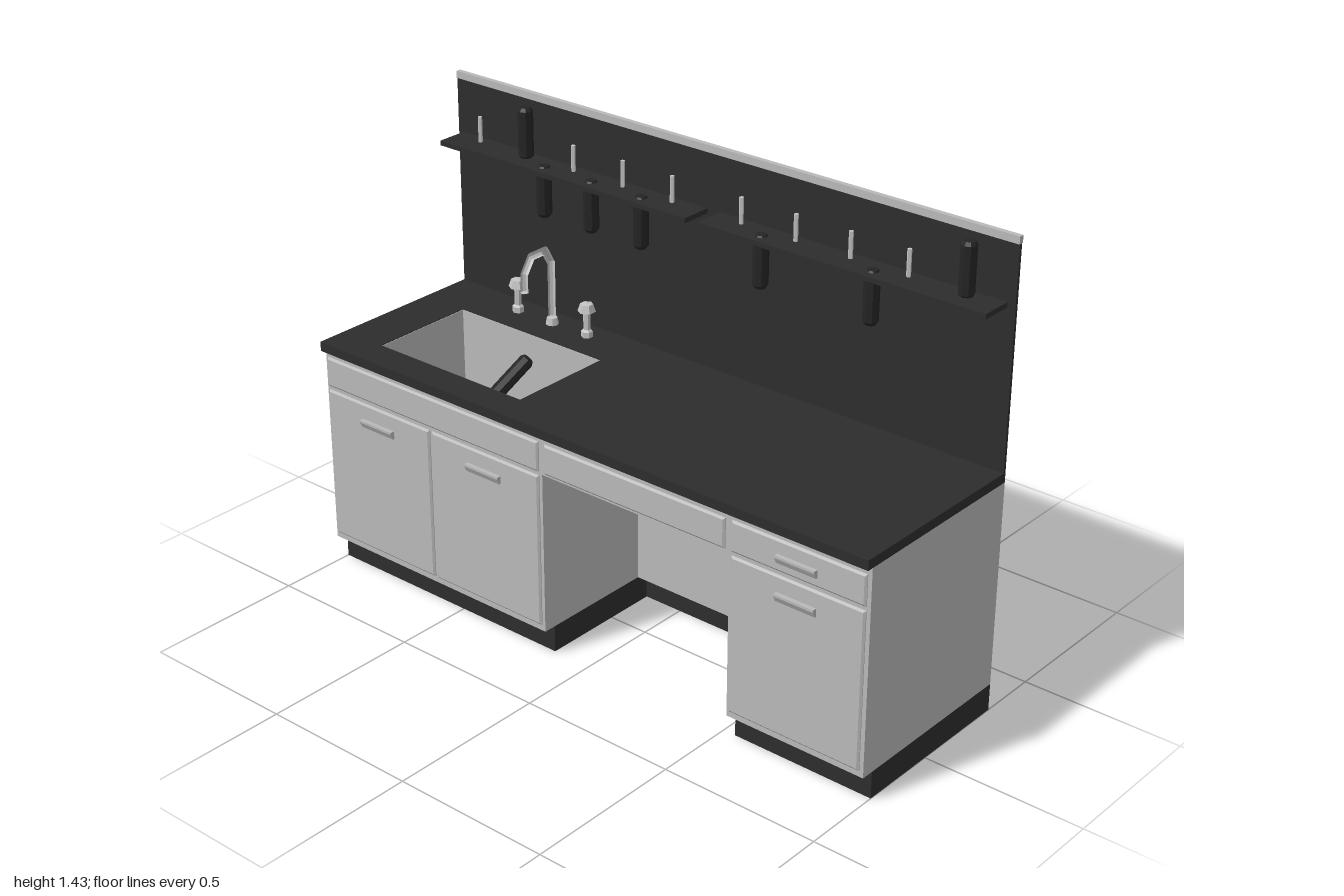
import * as THREE from 'three';

export function createModel() {
  const root = new THREE.Group();
  root.name = 'laboratoryBench';
  const mat = (name, color) => {
    const m = new THREE.MeshStandardMaterial({ color, flatShading: true });
    m.name = name;
    return m;
  };
  const grey = mat('cabinetGrey', 0xb9b9b9);
  const dark = mat('worktopBlack', 0x2d2d2d);
  const bottleMat = mat('bottleBlack', 0x242424);
  const metal = mat('metal', 0xc4c4c4);

  const add = (name, geo, material, x = 0, y = 0, z = 0) => {
    const m = new THREE.Mesh(geo, material);
    m.name = name;
    m.position.set(x, y, z);
    root.add(m);
    return m;
  };
  // Box given by its limits
  const box = (name, material, x0, x1, y0, y1, z0, z1) =>
    add(name, new THREE.BoxGeometry(x1 - x0, y1 - y0, z1 - z0), material,
      (x0 + x1) / 2, (y0 + y1) / 2, (z0 + z1) / 2);
  const rect = (Type, x0, x1, z0, z1) => new Type([
    new THREE.Vector2(x0, -z1), new THREE.Vector2(x1, -z1),
    new THREE.Vector2(x1, -z0), new THREE.Vector2(x0, -z0)]);
  // Horizontal slab with the sink opening cut out
  const S = { x0: -0.845, x1: -0.285, z0: -0.135, z1: 0.21, floor: 0.5 };
  const slab = (name, material, x0, x1, z0, z1, y0, y1) => {
    const shape = rect(THREE.Shape, x0, x1, z0, z1);
    const h = rect(THREE.Path, S.x0, S.x1, S.z0, S.z1);
    shape.holes.push(h);
    const geo = new THREE.ExtrudeGeometry(shape, { depth: y1 - y0, bevelEnabled: false });
    add(name, geo.rotateX(-Math.PI / 2), material, 0, y0, 0);
  };
  // Lathed part from [radius, height] pairs
  const lathe = (pts, sides) =>
    new THREE.LatheGeometry(pts.map(p => new THREE.Vector2(...p)), sides);

  // Plinths, recessed below the cabinets
  box('sinkPlinth', dark, -1, -0.13, 0, 0.085, -0.31, 0.25);
  box('kneePlinth', dark, -0.13, 0.54, 0, 0.085, -0.31, -0.16);
  box('drawerPlinth', dark, 0.54, 1, 0, 0.085, -0.31, 0.25);

  // Cabinet bodies and the open knee space
  box('sinkCabinetBase', grey, -1, -0.13, 0.085, S.floor, -0.31, 0.29);
  slab('sinkCabinetTop', grey, -1, -0.13, -0.31, 0.29, S.floor, 0.722);
  box('kneeBackPanel', grey, -0.13, 0.54, 0.085, 0.722, -0.31, -0.12);
  box('kneeDrawerBody', grey, -0.13, 0.54, 0.597, 0.722, -0.12, 0.29);
  box('drawerCabinet', grey, 0.54, 1, 0.085, 0.722, -0.31, 0.29);

  // Worktop and basin
  slab('worktop', dark, -1, 1, -0.31, 0.31, 0.722, 0.752);
  const t = 0.002;
  box('basinFloor', dark, S.x0, S.x1, S.floor, S.floor + 0.004, S.z0, S.z1);
  box('basinWallLeft', grey, S.x1 - t, S.x1, S.floor, 0.75, S.z0, S.z1);
  box('basinWallRight', grey, S.x0, S.x0 + t, S.floor, 0.75, S.z0, S.z1);
  box('basinWallBack', grey, S.x0, S.x1, S.floor, 0.75, S.z0, S.z0 + t);
  box('basinWallFront', grey, S.x0, S.x1, S.floor, 0.75, S.z1 - t, S.z1);

  // Bevelled door and drawer fronts
  const front = (name, x0, x1, y0, y1) => {
    const b = 0.006;
    const shape = rect(THREE.Shape, x0 + b, x1 - b, -y1 + b, -y0 - b);
    const geo = new THREE.ExtrudeGeometry(shape, {
      depth: 0.002, bevelThickness: 0.005, bevelSize: b, bevelSegments: 1 });
    add(name, geo, grey, 0, 0, 0.291);
  };
  front('door', -0.99, -0.57, 0.105, 0.593);
  front('door', -0.56, -0.14, 0.105, 0.593);
  front('door', 0.55, 0.988, 0.105, 0.593);
  front('sinkFront', -0.99, -0.14, 0.605, 0.7);
  front('kneeDrawerFront', -0.118, 0.528, 0.605, 0.698);
  front('drawerFront', 0.55, 0.988, 0.605, 0.7);

  // Wedge-shaped pulls
  for (const [x, y] of [[-0.78, 0.53], [-0.35, 0.53], [0.77, 0.53], [0.77, 0.645]]) {
    const profile = new THREE.Shape([[0, -0.012], [0.006, -0.012], [0.015, 0.006],
      [0.015, 0.013], [0, 0.013]].map(p => new THREE.Vector2(...p)));
    const geo = new THREE.ExtrudeGeometry(profile, { depth: 0.13, bevelEnabled: false });
    geo.rotateY(-Math.PI / 2).translate(0.065, 0, 0);
    add('pull', geo, grey, x, y, 0.297);
  }

  // Splashback with top trim
  box('splashback', dark, -1, 1, 0.752, 1.413, -0.31, -0.301);
  box('splashbackTrim', grey, -1, 1, 1.413, 1.435, -0.314, -0.298);

  // Shelves
  box('shelf', dark, -0.98, -0.025, 1.23, 1.245, -0.2, -0.301);
  box('shelf', dark, 0.02, 0.975, 1.23, 1.245, -0.2, -0.301);
  root.children.filter(c => c.name === 'shelf').forEach(c => {
    c.geometry = new THREE.BoxGeometry(0.955, 0.015, 0.101);
  });

  // Pegs standing on the shelves
  for (const x of [-0.88, -0.505, -0.315, -0.13, 0.12, 0.31, 0.495, 0.685])
    add('peg', new THREE.CylinderGeometry(0.007, 0.007, 0.08, 5), metal, x, 1.285, -0.27);

  // Bottles with chamfered ends: standing, hanging and one in the basin
  const bottle = lathe([[0, -0.08], [0.016, -0.08], [0.023, -0.07],
    [0.023, 0.07], [0.016, 0.08], [0, 0.08]], 8);
  for (const x of [-0.69, 0.87]) add('standingBottle', bottle, bottleMat, x, 1.32, -0.267);
  for (const x of [-0.595, -0.41, -0.22, 0.215, 0.59])
    add('hangingBottle', bottle, bottleMat, x, 1.17, -0.24);
  const loose = add('basinBottle', bottle, bottleMat, -0.55, 0.65, -0.03);
  loose.quaternion.setFromUnitVectors(new THREE.Vector3(0, 1, 0),
    new THREE.Vector3(0.025, 0.08, -0.115).normalize());

  // Swan-neck tap, made of straight segments
  const tapX = -0.565, tapZ = -0.232;
  const path = new THREE.CurvePath();
  const pts = [[0.752, tapZ], [0.95, tapZ], [0.998, -0.205], [0.998, -0.147],
    [0.95, -0.114], [0.893, -0.114]].map(([y, z]) => new THREE.Vector3(tapX, y, z));
  const R = 0.012, sides = 8;
  // Mitred rings at every bend
  const pos = [], idx = [];
  pts.forEach((p, i) => {
    const a = pts[Math.max(i - 1, 0)], b = pts[Math.min(i + 1, pts.length - 1)];
    const d1 = p.clone().sub(a).normalize(), d2 = b.clone().sub(p).normalize();
    const dir = d1.clone().add(d2).normalize();
    const n = new THREE.Vector3(1, 0, 0).cross(dir);
    const stretch = i > 0 && i < pts.length - 1 ? 1 / dir.dot(d1) : 1;
    for (let k = 0; k < sides; k++) {
      const ang = (k + 0.5) / sides * Math.PI * 2;
      pos.push(p.x + R * Math.cos(ang), p.y + n.y * R * stretch * Math.sin(ang),
        p.z + n.z * R * stretch * Math.sin(ang));
      const q = i * sides + k, r = i * sides + (k + 1) % sides;
      if (i < pts.length - 1) idx.push(q, r, q + sides, r, r + sides, q + sides);
    }
  });
  const last = (pts.length - 1) * sides;
  for (let k = 1; k < sides - 1; k++) idx.push(last, last + k, last + k + 1);
  const pipe = new THREE.BufferGeometry();
  pipe.setAttribute('position', new THREE.Float32BufferAttribute(pos, 3));
  pipe.setIndex(idx);
  pipe.computeVertexNormals();
  add('tapSpout', pipe, metal);
  add('tapBase', new THREE.CylinderGeometry(0.016, 0.02, 0.022, 8), metal, tapX, 0.763, tapZ);

  // Side valves with flared knobs
  const valve = lathe([[0.018, 0], [0.018, 0.018], [0.011, 0.024], [0.011, 0.078],
    [0.028, 0.082], [0.02, 0.106], [0, 0.108]], 6);
  for (const x of [-0.705, -0.425]) add('valve', valve, metal, x, 0.752, tapZ);

  return root;
}
